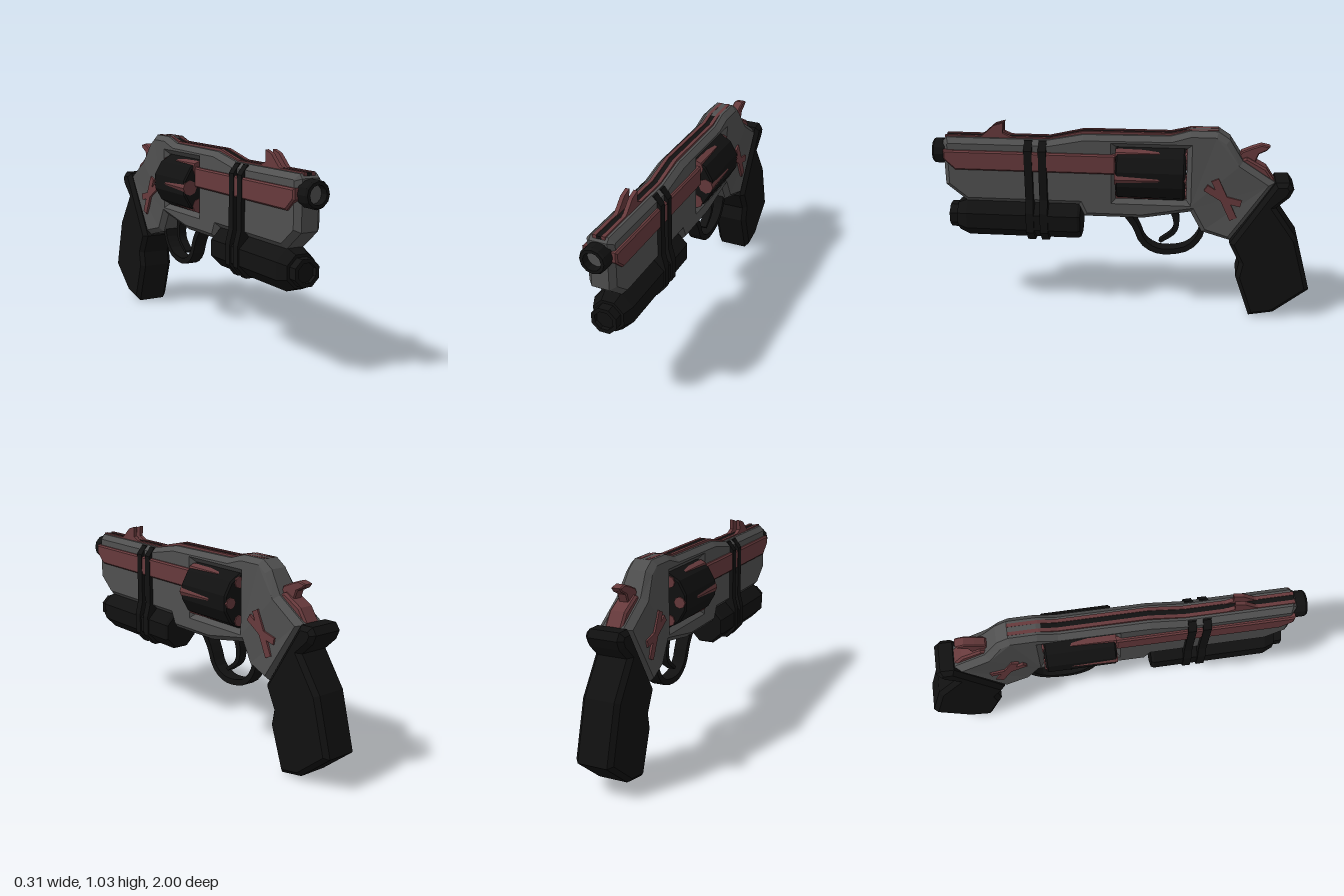
import * as THREE from 'three';

const paint = (color) => new THREE.MeshStandardMaterial({ color, flatShading: true });

export function createModel() {
  const model = new THREE.Group();
  const steel = paint(0x505050), black = paint(0x111111), red = paint(0x673a3c);

  const add = (name, geometry, material) => {
    const mesh = new THREE.Mesh(geometry, material);
    mesh.name = name;
    model.add(mesh);
    return mesh;
  };
  const toShape = (pts) => new THREE.Shape(pts.map(([a, b]) => new THREE.Vector2(a, b)));
  // Side outline given as [z, y], filled across x from x0 to x1 with a chamfer
  const slab = (pts, x0, x1, bevel = 0, hole = null) => {
    const shape = toShape(pts);
    if (hole) shape.holes.push(toShape(hole));
    return new THREE.ExtrudeGeometry(shape, {
      depth: x1 - x0 - 2 * bevel, bevelEnabled: bevel > 0, bevelSegments: 1,
      bevelSize: bevel, bevelThickness: bevel, bevelOffset: -bevel, curveSegments: 6,
    }).translate(0, 0, -(x1 - bevel)).rotateY(-Math.PI / 2);
  };
  const pair = (name, pts, x0, x1, bevel, material) => {
    add(name + 'Left', slab(pts, x0, x1, bevel), material);
    add(name + 'Right', slab(pts, -x1, -x0, bevel), material);
  };
  // Turned part along z; profile points are [radius, z]
  const turned = (pts, sides) => new THREE.LatheGeometry(
    pts.map(([r, z]) => new THREE.Vector2(r, z)), sides).rotateX(Math.PI / 2);

  // Frame with the cylinder window, flaring out towards the grip
  const frame = slab([
    [0.94, 0.93], [0.92, 0.95], [0.38, 0.95], [0.2, 0.985], [-0.25, 0.99], [-0.35, 1.02],
    [-0.49, 1.02], [-0.55, 0.98], [-0.62, 0.87], [-0.79, 0.76], [-0.57, 0.43], [-0.42, 0.47],
    [-0.36, 0.58], [-0.11, 0.535], [0.2, 0.535], [0.23, 0.6], [0.83, 0.6], [0.94, 0.69],
  ], -0.07, 0.07, 0.026, [[0.03, 0.645], [-0.335, 0.645], [-0.335, 0.925], [0.03, 0.925]]);
  const pos = frame.attributes.position;
  for (let i = 0; i < pos.count; i++) {
    if (pos.getZ(i) < -0.54 && pos.getY(i) < 0.9) pos.setX(i, pos.getX(i) * 1.22);
  }
  add('frame', frame, steel);

  // Muzzle ring and bore
  add('muzzle', turned([[0.045, 0.93], [0.045, 1], [0.06, 1], [0.067, 0.99], [0.067, 0.93]].reverse(), 12),
    black).position.y = 0.863;
  add('bore', new THREE.CircleGeometry(0.05, 12), steel).position.set(0, 0.863, 0.96);

  // Coloured panels along the barrel
  pair('barrelPanel', [[0.935, 0.89], [0.03, 0.89], [0.03, 0.785], [0.875, 0.785], [0.935, 0.84]],
    0.05, 0.087, 0.008, red);

  // Twin top rails with a dark channel between them, and the front sight
  const railTop = [[0.93, 0.957], [0.38, 0.957], [0.2, 0.998], [-0.25, 1], [-0.34, 1.02], [-0.49, 1.022]];
  const rail = (drop) => [...railTop.map(([z, y]) => [z, y - drop]), [-0.49, 0.94], [0.93, 0.92]];
  pair('topRail', rail(0), 0.013, 0.031, 0, red);
  add('railChannel', slab(rail(-0.002).map(([z, y]) => [z, y - 0.006]), -0.013, 0.013), black);
  pair('frontSight', [[0.78, 0.94], [0.73, 0.962], [0.67, 1.015], [0.62, 1.03], [0.625, 0.975], [0.55, 0.94]],
    0.011, 0.031, 0, red);

  // Revolving cylinder with tapered inserts and cartridge rims
  const drum = new THREE.Group();
  drum.name = 'cylinder';
  drum.position.set(0, 0.782, 0);
  const drumBody = new THREE.Mesh(turned([[0, -0.33], [0.142, -0.33], [0.15, -0.32], [0.15, 0.02],
    [0.142, 0.028], [0, 0.028]], 12).rotateZ(Math.PI / 12), black);
  drumBody.name = 'cylinderBody';
  drum.add(drumBody);
  const insertShape = turned([[0, -0.265], [0.024, -0.235], [0.035, -0.19], [0.04, 0.031], [0, 0.031]], 8);
  const rimShape = turned([[0, -0.337], [0.03, -0.337], [0.03, -0.32], [0, -0.32]], 8);
  for (let i = 0; i < 6; i++) {
    const a = i * Math.PI / 3;
    for (const [name, shape] of [['insert', insertShape], ['cartridgeRim', rimShape]]) {
      const part = new THREE.Mesh(shape, red);
      part.name = name;
      part.position.set(Math.cos(a) * 0.113, Math.sin(a) * 0.113, 0);
      drum.add(part);
    }
  }
  model.add(drum);

  // Tube under the barrel, with a front nozzle
  const tube = add('underTube', turned([[0, 0.22], [0.1, 0.22], [0.109, 0.235], [0.109, 0.83],
    [0.085, 0.885], [0.07, 0.885], [0.07, 0.93], [0.05, 0.93], [0.05, 0.91], [0, 0.91]], 8)
    .rotateZ(Math.PI / 8), black);
  tube.position.y = 0.503;

  // Straps wrapping the barrel and the tube
  const half = [[0.055, 0.947], [0.09, 0.9], [0.09, 0.63], [0.108, 0.56], [0.108, 0.45], [0.06, 0.393]];
  const loop = toShape([...half, ...half.map(([x, y]) => [-x, y]).reverse()]);
  for (const z of [0.465, 0.39]) {
    add('strap', new THREE.ExtrudeGeometry(loop, { depth: 0.042, bevelEnabled: false }), black).position.z = z;
  }

  // Trigger guard and trigger: curved strips with an even or tapering thickness
  const strip = (pts, startWidth, endWidth) => {
    const curve = new THREE.CatmullRomCurve3(pts.map(([z, y]) => new THREE.Vector3(z, y, 0)));
    const a = [], b = [], n = 16;
    for (let i = 0; i <= n; i++) {
      const p = curve.getPoint(i / n), t = curve.getTangent(i / n);
      const w = THREE.MathUtils.lerp(startWidth, endWidth, i / n) / 2;
      a.push([p.x - t.y * w, p.y + t.x * w]);
      b.unshift([p.x + t.y * w, p.y - t.x * w]);
    }
    return [...a, ...b];
  };
  add('triggerGuard', slab(strip([[-0.02, 0.55], [-0.07, 0.48], [-0.11, 0.39], [-0.18, 0.343],
    [-0.26, 0.338], [-0.35, 0.363], [-0.41, 0.43], [-0.43, 0.5]], 0.034, 0.028), -0.035, 0.035), black);
  add('trigger', slab(strip([[-0.27, 0.58], [-0.287, 0.51], [-0.275, 0.45], [-0.2, 0.388]], 0.04, 0.016),
    -0.022, 0.022), black);

  // Grip with a hooked heel at the top
  add('grip', slab([
    [-0.79, 0.768], [-0.86, 0.77], [-0.885, 0.735], [-0.865, 0.69], [-0.8, 0.63], [-0.92, 0.46],
    [-1, 0.17], [-0.82, 0.025], [-0.69, 0], [-0.61, 0.23], [-0.625, 0.31], [-0.57, 0.42],
  ], -0.098, 0.098, 0.022), black);

  // Hammer and its back plate
  add('hammer', slab([[-0.58, 0.85], [-0.61, 0.91], [-0.66, 0.932], [-0.71, 0.95], [-0.755, 0.94],
    [-0.74, 0.92], [-0.7, 0.9], [-0.685, 0.86], [-0.72, 0.8], [-0.66, 0.76]], -0.026, 0.026, 0.006), red);
  add('backPlate', slab([[-0.58, 0.86], [-0.64, 0.885], [-0.74, 0.83], [-0.785, 0.765], [-0.7, 0.72]],
    -0.045, 0.045, 0.01), red);

  // Crossed bars inlaid on both sides of the frame
  const bars = [
    [-0.532, 0.668, 0.235, 0.04, 2.01], [-0.478, 0.704, 0.1, 0.036, 2.6], [-0.57, 0.66, 0.1, 0.036, 0.22],
  ];
  for (const side of [-1, 1]) {
    for (const [z, y, length, width, angle] of bars) {
      const bar = add('crossBar', new THREE.BoxGeometry(0.03, width, length), red);
      bar.position.set(side * 0.073, y, z);
      bar.rotation.x = angle > 1.5 && angle < 2.2 ? angle - Math.PI / 2 - 1.57 : (angle > 2.2 ? -0.55 : -angle);
    }
  }
  return model;
}
